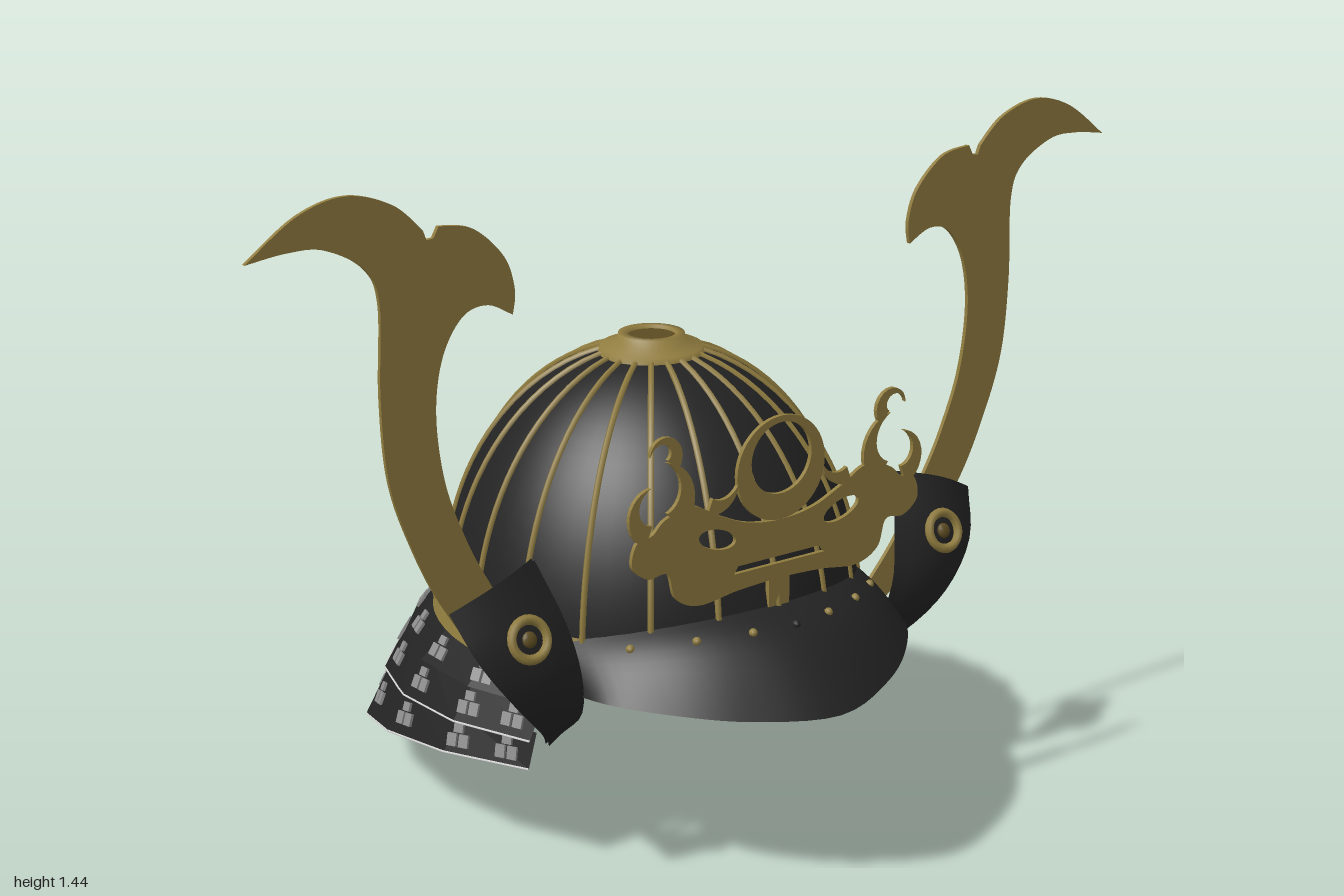
import * as THREE from 'three';

const mat = (name, color, side = THREE.FrontSide) => {
  const m = new THREE.MeshStandardMaterial({ color, side });
  m.name = name;
  return m;
};
const V = (x, y, z) => new THREE.Vector3(x, y, z);
const P = (a) => a.map(([x, y]) => new THREE.Vector2(x, y));

// Grid surface from a point rule f(u, v), u and v in 0..1
function surface(f, nu, nv, flat) {
  const pos = [], idx = [];
  for (let j = 0; j <= nv; j++)
    for (let i = 0; i <= nu; i++) pos.push(...f(i / nu, j / nv).toArray());
  for (let j = 0; j < nv; j++)
    for (let i = 0; i < nu; i++) {
      const a = j * (nu + 1) + i, b = a + nu + 1;
      idx.push(a, a + 1, b, a + 1, b + 1, b);
    }
  let g = new THREE.BufferGeometry();
  g.setAttribute('position', new THREE.Float32BufferAttribute(pos, 3));
  g.setIndex(idx);
  if (flat) g = g.toNonIndexed();
  g.computeVertexNormals();
  return g;
}

export function createModel() {
  const root = new THREE.Group();
  const black = mat('black lacquer', 0x232323, THREE.DoubleSide);
  const gold = mat('gold', 0x917d40, THREE.DoubleSide);
  const darkGold = mat('dark gold', 0x5c4c22);
  const silver = mat('silver lacing', 0x8c8c8c);
  const white = mat('white piping', 0xe0e0e0);
  const add = (name, geo, m, parent = root) => {
    const mesh = new THREE.Mesh(geo, m);
    mesh.name = name;
    parent.add(mesh);
    return mesh;
  };
  const plate = (shape, depth) =>
    new THREE.ExtrudeGeometry(shape, { depth, bevelEnabled: false, curveSegments: 24 });

  // Bowl: half ellipsoid centred at z = 0.03
  const RX = 0.425, RZ = 0.445, Y0 = 0.45, H = 0.545, CZ = 0.03;
  const dome = (a, t, o = 0) => V((RX + o) * Math.cos(t) * Math.sin(a),
    Y0 + (H + o) * Math.sin(t), CZ - (RZ + o) * Math.cos(t) * Math.cos(a));
  add('bowl', surface((u, v) => dome(u * Math.PI * 2, v * Math.PI / 2), 60, 20), black);

  // Gold ribs running up the bowl
  for (let i = 0; i < 20; i++) {
    const pts = [];
    for (let k = 0; k <= 8; k++) pts.push(dome(i * Math.PI / 10, 0.08 + k * 0.162, 0.001));
    add('rib', new THREE.TubeGeometry(new THREE.CatmullRomCurve3(pts), 20, 0.007, 5), gold);
  }

  // Crown fitting
  const crown = add('crownFitting', new THREE.LatheGeometry(P([[0.11, 0.975], [0.105, 0.99],
    [0.07, 0.998], [0.068, 1.016], [0.05, 1.016], [0.047, 1.0]]), 32), gold);
  const cap = add('crownCap', new THREE.CylinderGeometry(0.05, 0.05, 0.02, 32), darkGold);
  crown.position.z = cap.position.z = CZ;
  cap.position.y = 1.0;

  // Flared waist band with studs
  const band = (a, v, o = 0) => {
    const r = 0.006 + 0.03 * v + o;
    return V((0.425 + r * 0.6) * Math.sin(a), 0.515 - 0.085 * v, 0.02 - (0.44 + r) * Math.cos(a));
  };
  add('waistBand', surface((u, v) => band(u * Math.PI * 2, v), 60, 1), gold);
  for (let i = 0; i < 8; i++) {
    const s = add('bandStud', new THREE.SphereGeometry(0.009, 8, 6), black);
    s.position.copy(band(i * Math.PI / 4, 0.5));
  }

  // Visor: from the bowl out to a pointed brim
  const brim = new THREE.CatmullRomCurve3([[-0.39, 0.42, 0.3], [-0.365, 0.43, 0.42], [-0.28, 0.425, 0.525],
    [-0.17, 0.415, 0.605], [0, 0.408, 0.667], [0.17, 0.415, 0.605], [0.28, 0.425, 0.525],
    [0.365, 0.43, 0.42], [0.39, 0.42, 0.3]].map((p) => V(...p)));
  const visor = (u, v) => {
    const a = (u - 0.5) * 2.5, out = brim.getPoint(u);
    const top = V(0.42 * Math.sin(a), 0.485 + 0.085 * Math.cos((u - 0.5) * Math.PI), CZ + 0.43 * Math.cos(a));
    const p = top.lerp(out, v);
    p.y += 0.03 * Math.sin(v * Math.PI) * Math.sin(u * Math.PI);
    return p;
  };
  add('visor', surface(visor, 40, 8), black);
  for (const u of [0.2, 0.32, 0.42, 0.5, 0.58, 0.68, 0.8]) {
    const s = add('visorStud', new THREE.SphereGeometry(0.009, 8, 6), u === 0.5 ? black : gold);
    s.position.copy(visor(u, 0.3));
  }

  // Neck guard: three flared, faceted tiers, lower edge dipping at the back
  const N = 12;
  const ring = ([cz, rx, rz, yFront, dip]) => (k) => {
    const end = Math.PI - Math.acos((0.235 - cz) / rz);
    const a = (k / N * 2 - 1) * end;
    return V(rx * Math.sin(a), yFront - dip * Math.pow((1 + Math.cos(a)) / 2, 2.8), cz - rz * Math.cos(a));
  };
  const facetPoint = (f, s) => {
    const k = Math.min(N - 1, Math.floor(s));
    return f(k).lerp(f(k + 1), s - k);
  };
  const tiers = [
    [[0.0, 0.435, 0.455, 0.44, 0], [-0.03, 0.485, 0.5, 0.37, 0.03]],
    [[-0.025, 0.468, 0.485, 0.385, 0.02], [-0.06, 0.515, 0.54, 0.3, 0.085]],
    [[-0.055, 0.498, 0.525, 0.315, 0.07], [-0.1, 0.54, 0.565, 0.242, 0.232]],
  ];
  tiers.forEach(([t, b], n) => {
    const tier = new THREE.Group();
    tier.name = 'neckGuardTier';
    root.add(tier);
    const top = ring(t), bot = ring(b);
    add('tierPlate', surface((u, v) => top(Math.round(u * N)).lerp(bot(Math.round(u * N)), v), N, 1, true), black, tier);
    // Pale piping on the lower two edges
    if (n > 0) {
      const path = new THREE.CurvePath();
      for (let k = 0; k < N; k++) path.add(new THREE.LineCurve3(bot(k), bot(k + 1)));
      add('tierPiping', new THREE.TubeGeometry(path, N * 4, 0.0025, 4), white, tier);
    }
    // Lacing: one knot above two
    for (let i = 0; i < 14; i++) {
      const s = i === 0 ? 0.3 : i === 13 ? N - 0.3 : 0.9 + (i - 1) * (N - 1.8) / 11;
      if (i > 0 && i < 13 && s > N) continue;
      const hi = facetPoint(top, s), lo = facetPoint(bot, s);
      const k = Math.min(N - 1, Math.floor(s));
      const X = bot(k).sub(bot(k + 1)).normalize();
      const Z = X.clone().cross(hi.clone().sub(lo)).normalize();
      const Y = Z.clone().cross(X);
      const lace = new THREE.Group();
      lace.name = 'lacing';
      lace.matrixAutoUpdate = true;
      lace.quaternion.setFromRotationMatrix(new THREE.Matrix4().makeBasis(X, Y, Z));
      lace.position.copy(hi.lerp(lo, 0.55)).addScaledVector(Z, 0.004);
      tier.add(lace);
      for (const [x, y, h] of [[0, 0.016, 0.018], [-0.014, -0.009, 0.026], [0.014, -0.009, 0.026]]) {
        add('knot', new THREE.BoxGeometry(0.022, h, 0.006), silver, lace).position.set(x, y, 0);
      }
    }
  });

  // Flat horn outline (left side), mirrored for the right
  const hornShape = new THREE.Shape();
  hornShape.moveTo(0.36, 0.36);
  hornShape.splineThru(P([[0.52, 0.48], [0.634, 0.64], [0.698, 0.775], [0.74, 0.91], [0.751, 1.07],
    [0.746, 1.24], [0.773, 1.31], [0.85, 1.355], [0.92, 1.36], [1.0, 1.35]]));
  hornShape.splineThru(P([[0.9, 1.42], [0.805, 1.444], [0.714, 1.417], [0.655, 1.364]]));
  hornShape.lineTo(0.648, 1.345);
  hornShape.lineTo(0.634, 1.347);
  hornShape.lineTo(0.623, 1.367);
  hornShape.splineThru(P([[0.553, 1.353], [0.49, 1.294], [0.468, 1.23], [0.473, 1.182]]));
  hornShape.splineThru(P([[0.527, 1.208], [0.58, 1.193], [0.623, 1.123], [0.639, 1.016], [0.623, 0.882],
    [0.58, 0.76], [0.537, 0.674], [0.46, 0.54], [0.36, 0.42]]));

  // Turned-back side flap: curved plate between an inner and an outer edge
  const inner = new THREE.CatmullRomCurve3([[0.36, 0.3, 0.24], [0.37, 0.38, 0.33], [0.39, 0.48, 0.36],
    [0.41, 0.58, 0.34], [0.445, 0.7, 0.285]].map((p) => V(...p)));
  const outer = new THREE.CatmullRomCurve3([[0.39, 0.28, 0.24], [0.45, 0.35, 0.32], [0.53, 0.44, 0.36],
    [0.6, 0.54, 0.35], [0.635, 0.635, 0.3]].map((p) => V(...p)));
  const flap = (u, v) => {
    const p = inner.getPoint(v).lerp(outer.getPoint(v), u);
    p.z += 0.025 * Math.sin(u * Math.PI) * v;
    p.y += 0.012 * Math.sin(u * Math.PI) * v;
    return p;
  };
  for (const s of [1, -1]) {
    const side = new THREE.Group();
    side.name = s > 0 ? 'leftSide' : 'rightSide';
    side.scale.x = s;
    root.add(side);
    add('horn', plate(hornShape, 0.009), gold, side).position.z = 0.26;
    add('sideFlap', surface(flap, 8, 16), black, side);
    const back = flap(0.5, 0.5);
    back.z -= 0.012;
    add('sideFlapBack', surface((u, v) => flap(u, v).add(V(0, 0, -0.012)), 8, 16), black, side);
    // Gold rosette on the flap
    const rosette = new THREE.Group();
    rosette.name = 'rosette';
    rosette.position.copy(flap(0.5, 0.78)).add(V(0, 0, 0.008));
    rosette.rotation.x = -0.4;
    side.add(rosette);
    add('rosetteRing', new THREE.TorusGeometry(0.038, 0.01, 6, 24), gold, rosette);
    add('rosetteCentre', new THREE.SphereGeometry(0.016, 10, 8), darkGold, rosette).scale.z = 0.5;
  }

  // Front crest: pierced mask plate, ring and curling prongs
  const crest = new THREE.Group();
  crest.name = 'frontCrest';
  crest.position.z = 0.458;
  root.add(crest);
  const half = [[0.19, 0.61], [0.245, 0.635], [0.265, 0.69], [0.31, 0.69], [0.345, 0.72], [0.335, 0.765],
    [0.3, 0.775], [0.27, 0.8], [0.21, 0.815], [0.15, 0.785], [0.08, 0.755]];
  const mask = new THREE.Shape();
  mask.moveTo(0, 0.625);
  mask.splineThru(P([[0.1, 0.62], ...half, [0, 0.745],
    ...half.slice().reverse().map(([x, y]) => [-x, y]), [-0.1, 0.62], [0, 0.625]]));
  for (const s of [1, -1]) {
    const eye = new THREE.Path();
    eye.absellipse(s * 0.15, 0.735, 0.045, 0.02, 0, Math.PI * 2, false, s * 0.3);
    mask.holes.push(eye);
  }
  mask.holes.push(new THREE.Path(P([[-0.11, 0.655], [0.11, 0.655], [0.1, 0.67], [-0.1, 0.67]])));
  add('crestMask', plate(mask, 0.009), gold, crest);

  const moon = new THREE.Shape();
  moon.absarc(0, 0.85, 0.105, 0, Math.PI * 2);
  const gap = new THREE.Path();
  gap.absarc(0, 0.87, 0.072, 0, Math.PI * 2);
  moon.holes.push(gap);
  add('crestRing', plate(moon, 0.009), gold, crest);

  // Tapering hook: arc from a0 to a1 that narrows to a point
  const hook = (cx, cy, r, a0, a1, w) => {
    const at = (t, d) => {
      const a = a0 + (a1 - a0) * t;
      return [cx + (r + d) * Math.cos(a), cy + (r + d) * Math.sin(a)];
    };
    const pts = [];
    for (let i = 0; i <= 12; i++) pts.push(at(i / 12, w * (1 - i / 12)));
    for (let i = 11; i >= 0; i--) pts.push(at(i / 12, -w * (1 - i / 12)));
    return plate(new THREE.Shape(P(pts)), 0.009);
  };
  const hooks = [
    [0.29, 0.845, 0.07, -2.2, -4.4, 0.028],
    [0.275, 0.925, 0.03, -2.4, -6.2, 0.016],
    [0.29, 0.82, 0.05, -1.2, 1.3, 0.022],
    [0.15, 0.85, 0.05, -1.2, -2.9, 0.018],
  ];
  for (const s of [1, -1]) {
    const prongs = new THREE.Group();
    prongs.name = 'crestProngs';
    prongs.scale.x = s;
    crest.add(prongs);
    hooks.forEach((h) => add('prong', hook(...h), gold, prongs));
  }
  // Stem holding the crest to the bowl
  add('crestStem', new THREE.BoxGeometry(0.05, 0.1, 0.012), gold, crest).position.set(0, 0.58, 0.003);

  return root;
}
